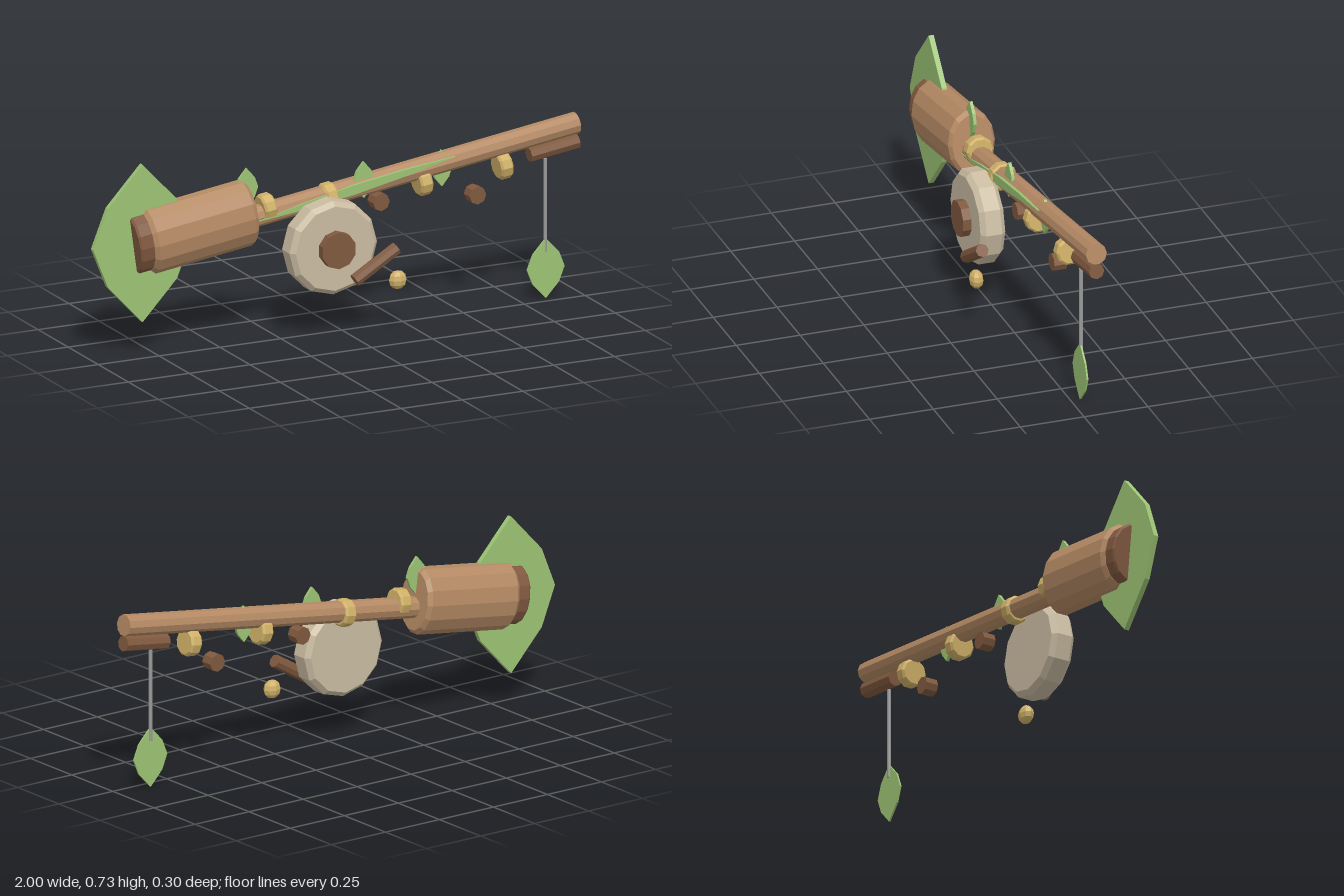
import * as THREE from 'three';

const mat = (name, color, side = THREE.FrontSide) =>
  new THREE.MeshStandardMaterial({ name, color, flatShading: true, side });

export function createModel() {
  const model = new THREE.Group();
  model.name = 'woodenLauncher';
  const wood = mat('wood', 0xb58a64);
  const darkWood = mat('darkWood', 0x80593f);
  const gold = mat('gold', 0xcfb067);
  const cream = mat('cream', 0xcabca2);
  const green = mat('leafGreen', 0x9dc474);
  const grey = mat('grey', 0x9a9a9a);

  const AXIS_Z = -0.052;
  const TILT = THREE.MathUtils.degToRad(8);

  const add = (name, geo, material, x, y, z) => {
    const m = new THREE.Mesh(geo, material);
    m.name = name;
    m.position.set(x, y, z);
    model.add(m);
    return m;
  };

  // Drum with chamfered rims, along y
  const drum = (r, len, c, sides) => new THREE.LatheGeometry([
    [0, -len / 2], [r - c, -len / 2], [r, -len / 2 + c],
    [r, len / 2 - c], [r - c, len / 2], [0, len / 2],
  ].map(([a, b]) => new THREE.Vector2(a, b)), sides);

  // Turn a y-axis geometry along x, with an optional z squash, then tilt it
  const along = (geo, squash = 1) => geo.rotateZ(-Math.PI / 2).scale(1, 1, squash).rotateZ(TILT);

  // Flat pointed leaf, long axis along y
  const leaf = (w, h, t) => {
    const s = new THREE.Shape([
      [0, -h], [0.7 * w, -0.5 * h], [w, 0], [0.7 * w, 0.5 * h],
      [0, h], [-0.7 * w, 0.5 * h], [-w, 0], [-0.7 * w, -0.5 * h],
    ].map(([x, y]) => new THREE.Vector2(x, y)));
    return new THREE.ExtrudeGeometry(s, { depth: t, bevelEnabled: false }).translate(0, 0, -t / 2);
  };

  // Long pole and the short stub under its tip
  add('pole', along(new THREE.CylinderGeometry(0.041, 0.041, 1.42, 10)), wood, 0.286, 0.554, AXIS_Z);
  add('tipStub', along(new THREE.CylinderGeometry(0.03, 0.03, 0.2, 8)), darkWood, 0.893, 0.569, AXIS_Z);

  // Oval stock with a smaller end cap
  add('stock', along(drum(0.128, 0.43, 0.016, 14), 0.72), wood, -0.567, 0.458, -0.055);
  add('stockCap', along(drum(0.112, 0.1, 0.008, 14), 0.7), darkWood, -0.785, 0.429, -0.055);

  // Gold bands
  [[-0.285, 0.497], [-0.03, 0.505], [0.355, 0.511], [0.685, 0.53]].forEach(([x, y]) =>
    add('band', along(drum(0.053, 0.05, 0.008, 10)), gold, x, y, AXIS_Z));

  // Side wheel and hub
  add('wheel', drum(0.18, 0.097, 0.018, 12).rotateX(Math.PI / 2), cream, -0.065, 0.342, 0.03);
  add('wheelHub', new THREE.CylinderGeometry(0.07, 0.07, 0.05, 10).rotateX(Math.PI / 2),
    darkWood, -0.065, 0.342, 0.087);

  // Crank handle and knob
  const crank = add('crankHandle', new THREE.CylinderGeometry(0.025, 0.025, 0.2, 8).rotateZ(-Math.PI / 2),
    darkWood, 0.09, 0.268, 0.1);
  crank.rotation.z = THREE.MathUtils.degToRad(31);
  add('crankKnob', new THREE.SphereGeometry(0.036, 8, 6).scale(1, 1, 0.75), gold, 0.17, 0.204, 0.122);

  // Pegs below the pole
  [[0.177, 0.46], [0.573, 0.433]].forEach(([x, y]) =>
    add('peg', new THREE.CylinderGeometry(0.034, 0.034, 0.05, 8).rotateX(Math.PI / 2), darkWood, x, y, AXIS_Z));

  // Leaves
  add('tailLeaf', leaf(0.203, 0.303, 0.02), green, -0.797, 0.427, AXIS_Z);
  add('sproutLeaf', leaf(0.046, 0.075, 0.012), green, -0.366, 0.582, AXIS_Z);
  add('sproutLeaf', leaf(0.042, 0.07, 0.012), green, 0.105, 0.556, -0.033);
  add('sproutLeaf', leaf(0.042, 0.07, 0.012), green, 0.435, 0.552, AXIS_Z);
  const blade = add('longBlade', leaf(0.018, 0.42, 0.012), green, 0.06, 0.529, -0.014);
  blade.rotation.z = -Math.PI / 2 + THREE.MathUtils.degToRad(10);

  // Hanging charm
  add('charmCord', new THREE.CylinderGeometry(0.0075, 0.0075, 0.357, 8), grey, 0.856, 0.357, -0.04);
  add('charmLeaf', leaf(0.077, 0.115, 0.007), green, 0.856, 0.115, -0.038);

  return model;
}
